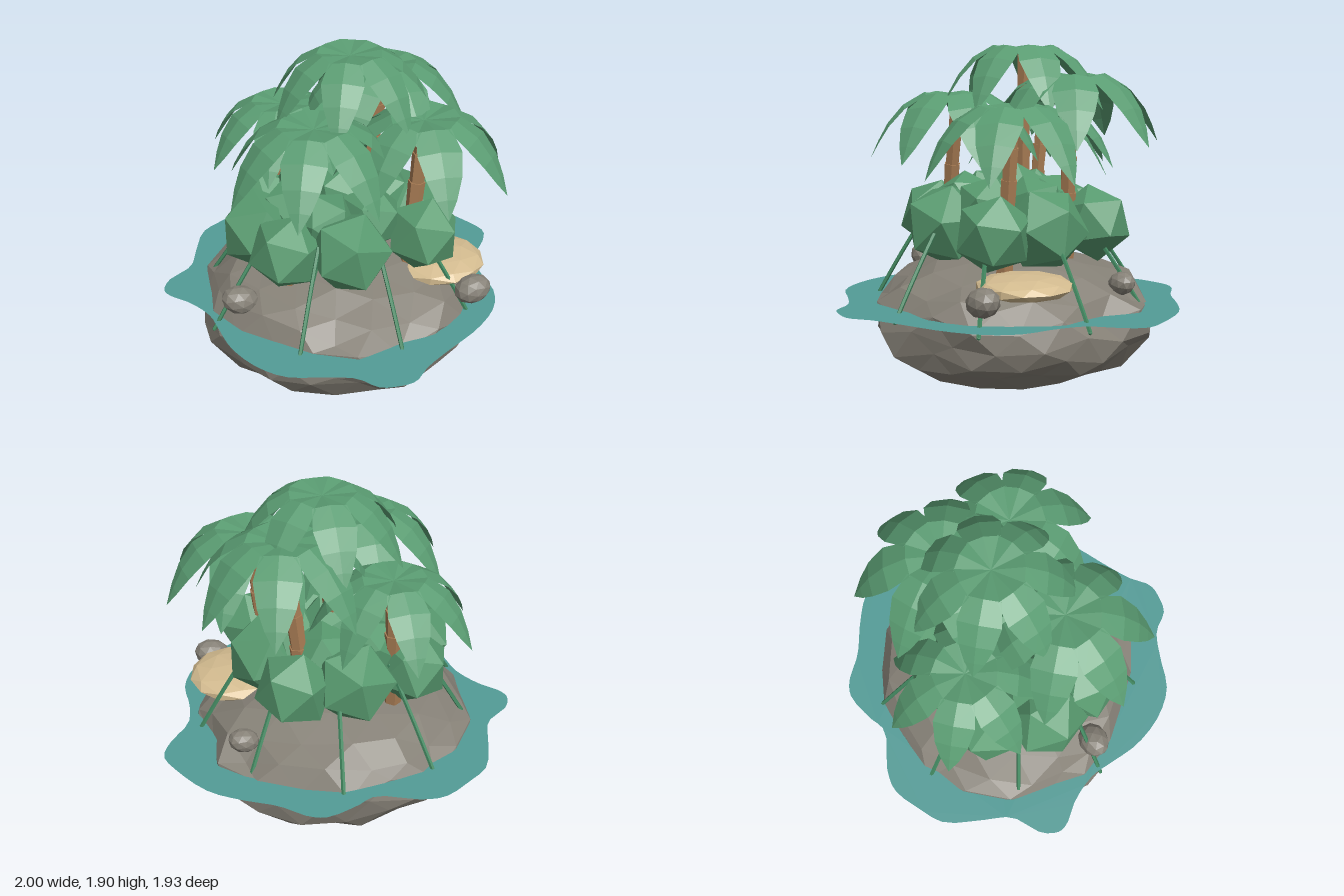
import * as THREE from 'three';

const flat = (name, color, side = THREE.FrontSide) =>
  new THREE.MeshStandardMaterial({ name, color, side, flatShading: true });

const mats = {
  rock: flat('rock grey', 0x868177),
  sand: flat('sand', 0xd4bc90),
  water: flat('lagoon teal', 0x539c97, THREE.DoubleSide),
  leaf: flat('leaf green', 0x5a9c72, THREE.DoubleSide),
  bush: flat('bush green', 0x589a6f),
  vine: flat('vine green', 0x428860),
  trunk: flat('trunk brown', 0xa87c54),
};

function add(parent, name, geometry, material, x = 0, y = 0, z = 0) {
  const mesh = new THREE.Mesh(geometry, material);
  mesh.name = name;
  mesh.position.set(x, y, z);
  parent.add(mesh);
  return mesh;
}

function moveVertices(geometry, rule) {
  const p = geometry.attributes.position;
  const v = new THREE.Vector3();
  for (let i = 0; i < p.count; i++) {
    rule(v.fromBufferAttribute(p, i));
    p.setXYZ(i, v.x, v.y, v.z);
  }
  geometry.computeVertexNormals();
  return geometry;
}

// Faceted island: blunt cone below, rounded above, with a slight shoulder at the back
function islandGeometry() {
  const g = new THREE.IcosahedronGeometry(1, 3);
  g.rotateZ(Math.atan(2 / (1 + Math.sqrt(5))));
  return moveVertices(g, (v) => {
    const { x, y, z } = v;
    const bump = 1 + 0.03 * Math.sin(17 * x + 9 * z + 13 * y) + 0.03 * Math.sin(15 * z - 11 * x + 19 * y);
    const shoulder = 1 + 0.14 * Math.max(0, -z) * Math.max(0, y);
    const r = bump * shoulder * (1 - 0.5 * Math.max(0, -y - 0.5));
    const lift = 0.035 * Math.sin(14 * x + 10 * z) * (1 - y * y);
    v.set(x * 0.8 * r - 0.01, 0.4 + y * (y > 0 ? 0.37 : 0.4) + lift, z * 0.77 * r - 0.07);
  });
}

// Flat sheet of water with a wavy outline
function waterGeometry() {
  const outline = [
    [-1, -.24], [-.96, -.33], [-.81, -.44], [-.75, -.59], [-.66, -.8], [-.53, -.89], [-.37, -.97],
    [-.24, -.96], [-.02, -.88], [.09, -.925], [.26, -.97], [.35, -.94], [.48, -.83], [.65, -.74],
    [.81, -.63], [.94, -.44], [1, -.29], [.95, -.18], [.83, -.03], [.8, .13], [.8, .32], [.73, .48],
    [.57, .63], [.35, .76], [.19, .86], [.09, .95], [0, .96], [-.1, .94], [-.19, .84], [-.34, .78],
    [-.53, .72], [-.66, .59], [-.75, .4], [-.78, .21], [-.8, .08], [-.88, -.07], [-.98, -.18],
  ];
  const curve = new THREE.CatmullRomCurve3(outline.map(([x, z]) => new THREE.Vector3(x, -z, 0)), true);
  const shape = new THREE.Shape(curve.getPoints(100).slice(0, -1).map((p) => new THREE.Vector2(p.x, p.y)));
  return new THREE.ShapeGeometry(shape).rotateX(-Math.PI / 2);
}

// Palm leaf that rises a little from the crown, then droops to a point
function leafGeometry() {
  const rows = [ // reach, height, half width
    [0, -0.03, 0.03], [0.18, 0, 0.095], [0.3, -0.07, 0.12], [0.385, -0.17, 0.095], [0.44, -0.27, 0.055], [0.485, -0.37, 0],
  ];
  return moveVertices(new THREE.PlaneGeometry(2, 5, 2, 5), (v) => {
    const [reach, height, half] = rows[Math.round(2.5 - v.y)];
    const side = v.x;
    v.set(side * half, height - Math.abs(side) * half * 0.15, reach - Math.abs(side) * half * 0.1);
  });
}

// Palm with a stacked, gently curved trunk and a ring of leaves
function addPalm(parent, name, base, top, size, turn, leaf) {
  const palm = new THREE.Group();
  palm.name = name;
  parent.add(palm);
  const a = new THREE.Vector3(...base), b = new THREE.Vector3(...top);
  const middle = a.clone().lerp(b, 0.5);
  middle.x = middle.x * 0.75 + a.x * 0.25;
  const curve = new THREE.QuadraticBezierCurve3(a, middle, b);
  const count = 5, up = new THREE.Vector3(0, 1, 0);
  for (let i = 0; i < count; i++) {
    const p = curve.getPoint(i / count), q = curve.getPoint((i + 1) / count);
    const r = 0.055 - 0.003 * i;
    const part = add(palm, 'trunkSegment',
      new THREE.CylinderGeometry(r - 0.001, r - 0.006, p.distanceTo(q) + 0.01, 6), mats.trunk);
    part.position.copy(p).lerp(q, 0.5);
    part.quaternion.setFromUnitVectors(up, q.clone().sub(p).normalize());
  }
  for (let i = 0; i < 7; i++) {
    const frond = add(palm, 'palmLeaf', leaf, mats.leaf, top[0], top[1] + 0.06, top[2]);
    frond.rotation.y = turn + i * Math.PI * 2 / 7;
    frond.scale.setScalar(size);
  }
}

export function createModel() {
  const model = new THREE.Group();
  model.name = 'palmIsland';

  add(model, 'islandRock', islandGeometry(), mats.rock);
  add(model, 'water', waterGeometry(), mats.water, 0, 0.51, 0);

  // Sandy patch
  const sand = add(model, 'sandPatch', new THREE.IcosahedronGeometry(1, 1), mats.sand, 0.52, 0.675, 0.15);
  sand.scale.set(0.26, 0.065, 0.26);

  // Loose boulders
  const boulder = new THREE.IcosahedronGeometry(1, 1);
  for (const [x, y, z, r] of [[-.64, .64, .16, .105], [.61, .64, .44, .105], [.58, .64, -.42, .085]]) {
    const stone = add(model, 'boulder', boulder, mats.rock, x, y, z);
    stone.scale.set(r, r * 0.75, r * 0.8);
    stone.rotation.z = x * 0.4;
  }

  // Bushes: outer ring, inner ring and crown
  const bush = new THREE.IcosahedronGeometry(1, 0);
  const addBush = (x, y, z, r, turn) => {
    const b = add(model, 'bush', bush, mats.bush, x, y, z);
    b.scale.setScalar(r);
    b.rotation.set(0.3 * Math.sin(turn * 3), turn, 0.2);
  };
  const ring = [
    [-.06, .31], [.38, .25], [.37, -.07], [.3, -.42], [-.02, -.43], [-.36, -.37], [-.46, -.06], [-.38, .21],
  ];
  ring.forEach(([x, z], i) => addBush(x, 0.93, z, i % 2 ? 0.215 : 0.235, i * 0.8));
  for (let i = 0; i < 6; i++) {
    const a = (i + 0.5) * Math.PI / 3;
    addBush(-0.02 + Math.sin(a) * 0.25, 1.02, -0.07 + Math.cos(a) * 0.24, 0.19, a * 1.7);
  }
  addBush(0.01, 1.06, -0.09, 0.21, 0.5);

  // Palms
  const leaf = leafGeometry();
  addPalm(model, 'tallPalm', [0.0, 0.7, -0.14], [0.07, 1.84, -0.11], 0.93, 0.45, leaf);
  addPalm(model, 'rightFrontPalm', [-0.36, 0.7, 0.15], [-0.21, 1.58, 0.16], 1, 0.45, leaf);
  addPalm(model, 'leftBackPalm', [0.21, 0.7, -0.3], [0.31, 1.69, -0.27], 1, 0.15, leaf);
  addPalm(model, 'leftFrontPalm', [0.33, 0.7, 0.16], [0.4, 1.54, 0.15], 1, -0.08, leaf);
  addPalm(model, 'rightBackPalm', [-0.26, 0.7, -0.36], [-0.23, 1.47, -0.41], 0.9, 0.45, leaf);

  // Hanging vines reaching from the bushes to the water
  const tips = [
    [.12, .7], [.6, .46], [.79, -.08], [.59, -.57], [.14, -.85], [-.39, -.77], [-.73, -.36], [-.79, .14], [-.43, .58],
  ];
  for (const [x, z] of tips) {
    const curve = new THREE.QuadraticBezierCurve3(
      new THREE.Vector3(x * 0.55, 1.0, z * 0.55),
      new THREE.Vector3(x * 0.74, 0.8, z * 0.74),
      new THREE.Vector3(x, 0.46, z));
    add(model, 'vine', new THREE.TubeGeometry(curve, 6, 0.012, 5), mats.vine);
    add(model, 'vineTip', new THREE.IcosahedronGeometry(0.012, 0), mats.vine, x, 0.46, z);
  }
  return model;
}
